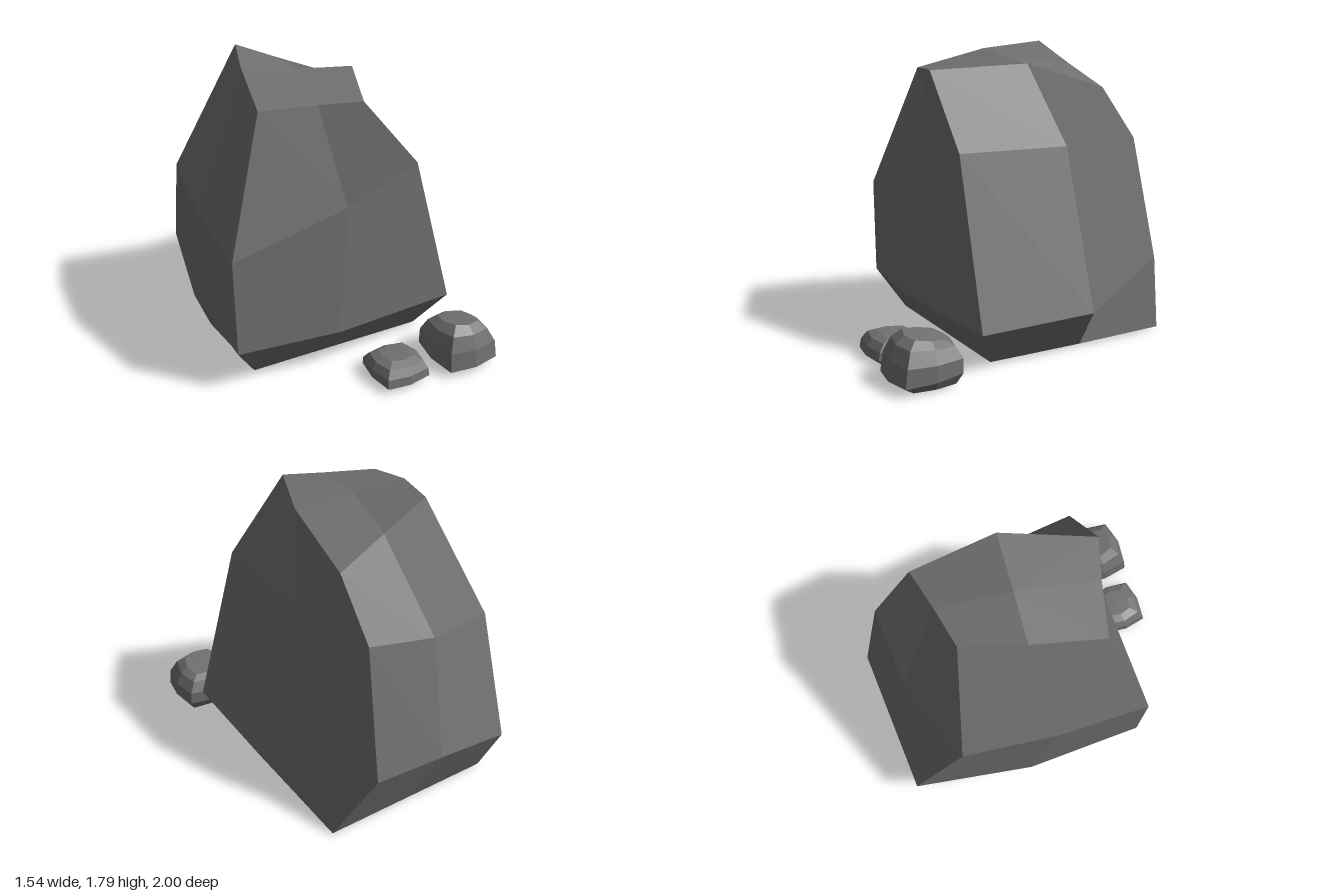
import * as THREE from 'three';

const stone = new THREE.MeshStandardMaterial({ color: 0x707070 });

// Closed faceted rock of four-sided facets, each shaded flat: stacked 8-point rings,
// bottom to top, each end closed by four facets round a middle point.
// Ring order: front left, front, front right, right, back right, back, back left, left (seen facing the front).
function rock(name, rings, bottom, top) {
  const pos = [], normals = [];
  const v = (p) => new THREE.Vector3(...p);
  // Facet with corners a, b, c, d, split along b-d
  const facet = (a, b, c, d) => {
    const n = v(c).sub(v(a)).cross(v(d).sub(v(b))).normalize();
    pos.push(...a, ...b, ...d, ...b, ...c, ...d);
    for (let i = 0; i < 6; i++) normals.push(n.x, n.y, n.z);
  };
  const first = rings[0], last = rings[rings.length - 1];
  for (let i = 0; i < 8; i++) {
    const j = (i + 1) % 8;
    for (let k = 0; k < rings.length - 1; k++) {
      facet(rings[k][i], rings[k][j], rings[k + 1][j], rings[k + 1][i]);
    }
  }
  for (let i = 0; i < 8; i += 2) {
    const next = i + 1, prev = (i + 7) % 8;
    facet(last[prev], last[i], last[next], top);
    facet(first[next], first[i], first[prev], bottom);
  }
  const geo = new THREE.BufferGeometry();
  geo.setAttribute('position', new THREE.Float32BufferAttribute(pos, 3));
  geo.setAttribute('normal', new THREE.Float32BufferAttribute(normals, 3));
  const mesh = new THREE.Mesh(geo, stone);
  mesh.name = name;
  return mesh;
}

// Ring for a small stone: a rectangle with its corners drawn in by cut, raised at the front left by tilt.
function stoneRing([y, x0, x1, z0, z1, cut], tilt) {
  const cx = (x0 + x1) / 2, cz = (z0 + z1) / 2;
  const hx = (x1 - x0) / 2, hz = (z1 - z0) / 2;
  const dirs = [[-1, 1], [0, 1], [1, 1], [1, 0], [1, -1], [0, -1], [-1, -1], [-1, 0]];
  return dirs.map(([sx, sz], i) => {
    const s = i % 2 ? 1 : 1 - cut;
    return [cx + sx * hx * s, y + tilt * (sz * 0.6 - sx * 0.3), cz + sz * hz * s];
  });
}

function smallStone(name, levels, tilts, bottom, top) {
  return rock(name, levels.map((level, k) => stoneRing(level, tilts[k])), bottom, top);
}

export function createModel() {
  const group = new THREE.Group();

  // Large boulder
  const base = [
    [-0.6, 0.015, 0.35], [-0.1, 0.015, 0.35], [0.55, 0.015, 0.35], [0.57, 0.015, -0.26],
    [0.57, 0.015, -0.86], [0, 0.015, -0.86], [-0.53, 0.015, -0.86], [-0.63, 0.015, -0.26],
  ];
  const skirt = [
    [-0.76, 0.26, 0.49], [-0.12, 0.26, 0.56], [0.71, 0.25, 0.49], [0.71, 0.25, -0.26],
    [0.36, 0.4, -1], [-0.1, 0.37, -1], [-0.57, 0.33, -1], [-0.73, 0.26, -0.26],
  ];
  const shoulder = [
    [-0.775, 0.86, 0.49], [-0.05, 1.04, 0.5], [0.435, 1.22, 0.48], [0.405, 1.2, -0.26],
    [0.32, 1.2, -0.83], [-0.13, 1.1, -0.83], [-0.65, 1, -0.67], [-0.74, 0.93, -0.1],
  ];
  const crown = [
    [-0.5, 1.63, 0.28], [-0.18, 1.645, 0.38], [0.06, 1.655, 0.47], [0.29, 1.69, -0.05],
    [0.33, 1.53, -0.57], [0.02, 1.66, -0.53], [-0.28, 1.79, -0.5], [-0.4, 1.745, -0.15],
  ];
  group.add(rock('boulder', [base, skirt, shoulder, crown], [0, 0.015, -0.26], [-0.08, 1.71, -0.1]));

  // Two small stones in front; levels are [y, xMin, xMax, zMin, zMax, cut]
  group.add(smallStone('largerStone', [
    [0.012, 0.43, 0.73, 0.64, 0.93, 0.12],
    [0.06, 0.38, 0.77, 0.6, 1.0, 0.14],
    [0.16, 0.385, 0.765, 0.595, 0.985, 0.15],
    [0.237, 0.42, 0.725, 0.625, 0.95, 0.18],
    [0.275, 0.47, 0.68, 0.665, 0.9, 0.22],
  ], [0, -0.02, 0, 0.015, 0.025], [0.58, 0.012, 0.79], [0.57, 0.282, 0.78]));
  group.add(smallStone('smallerStone', [
    [0.005, 0.01, 0.27, 0.65, 0.91, 0.12],
    [0.045, -0.03, 0.305, 0.61, 0.95, 0.14],
    [0.09, -0.025, 0.3, 0.61, 0.94, 0.14],
    [0.13, 0, 0.285, 0.635, 0.91, 0.17],
    [0.15, 0.05, 0.24, 0.67, 0.86, 0.22],
  ], [0, -0.01, 0, 0.008, 0.008], [0.135, 0.003, 0.78], [0.14, 0.153, 0.77]));

  return group;
}
